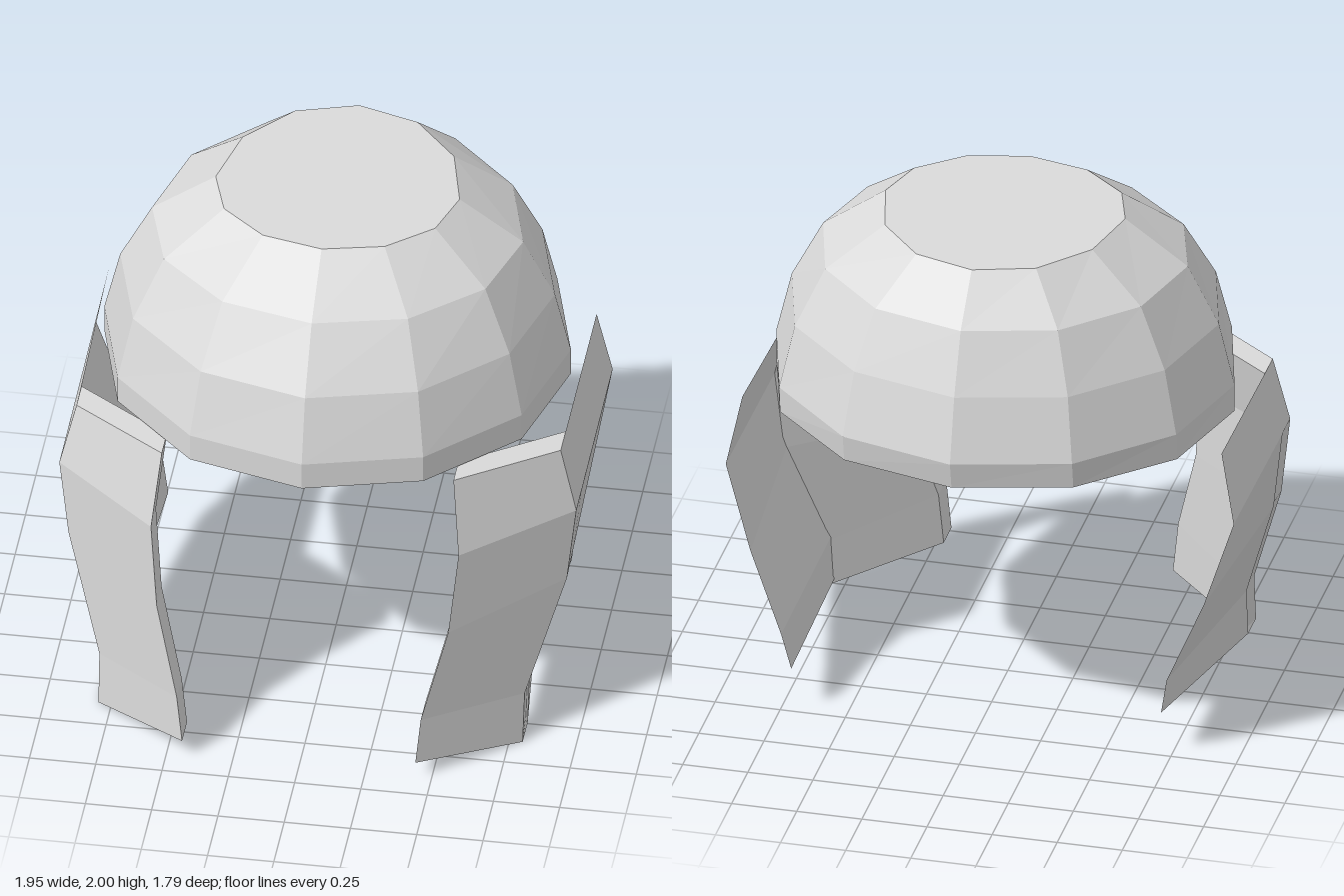
import * as THREE from 'three';

// Double sided because the inner face of each cheek guard crosses its thin outer face
const steel = new THREE.MeshStandardMaterial({ color: 0xdadada, side: THREE.DoubleSide });
steel.name = 'pale grey steel';

// Dome rings from top to bottom: y, half width, front depth, back depth
const rings = [
  [2.0, 0.46, 0.387, 0.523],
  [1.83, 0.7, 0.627, 0.693],
  [1.6, 0.82, 0.787, 0.793],
  [1.35, 0.88, 0.866, 0.858],
  [1.24, 0.88, 0.866, 0.834],
];
const domeZ = -0.037;

function makeDome() {
  const rows = rings.length - 1;
  const geo = new THREE.CylinderGeometry(1, 1, rows, 12, rows).toNonIndexed();
  const p = geo.attributes.position;
  for (let i = 0; i < p.count; i++) {
    const [y, width, front, back] = rings[Math.round(rows / 2 - p.getY(i))];
    const z = p.getZ(i);
    p.setXYZ(i, p.getX(i) * width, y, z * (z > 0 ? front : back) + domeZ);
  }
  geo.computeVertexNormals();
  const mesh = new THREE.Mesh(geo, steel);
  mesh.name = 'dome';
  return mesh;
}

// Cheek guard levels from bottom to top: front edge, fold, back edge
const levels = [
  [[0.44, 0.07, 0.9], [0.8, 0.0, 0.615], [0.71, 0.175, -0.49]],
  [[0.46, 0.27, 0.9], [0.802, 0.2, 0.58], [0.74, 0.335, -0.525]],
  [[0.55, 0.62, 0.81], [0.94, 0.65, 0.445], [0.87, 0.645, -0.475]],
  [[0.58, 0.94, 0.755], [0.975, 0.965, 0.44], [0.975, 0.98, -0.435]],
  [[0.55, 1.235, 0.685], [0.913, 1.222, 0.42], [0.92, 1.255, -0.4]],
];
const thickness = 0.12;

function makeCheek(side, name) {
  // Each section runs round the plate, which tapers to nothing at the back
  const loops = levels.map((level) => {
    const [a, b, c] = level.map(([x, y, z]) => new THREE.Vector3(x * side, y, z));
    const inward = (v) => v.clone().setZ(v.z - thickness);
    return [a, b, c, inward(b), inward(a)];
  });
  const pos = [], nor = [];

  // One facet with a single normal, mirrored order on the other side
  const facet = (...corners) => {
    if (side < 0) corners.reverse();
    const [a, b, c, d = a] = corners;
    const n = c.clone().sub(a).cross(d.clone().sub(b)).normalize();
    const order = corners.length === 4 ? [a, b, c, a, c, d] : [a, b, c];
    for (const v of order) {
      pos.push(...v.toArray());
      nor.push(...n.toArray());
    }
  };

  for (let j = 0; j < loops.length - 1; j++) {
    const lo = loops[j], hi = loops[j + 1];
    for (let i = 0; i < 5; i++) {
      const k = (i + 1) % 5;
      facet(lo[i], lo[k], hi[k], hi[i]);
    }
  }
  // End caps
  const [a, b, c, d, e] = loops[loops.length - 1];
  facet(a, b, d, e);
  facet(b, c, d);
  const [f, g, h, i, j] = loops[0];
  facet(j, i, g, f);
  facet(g, h, i);

  const geo = new THREE.BufferGeometry();
  geo.setAttribute('position', new THREE.Float32BufferAttribute(pos, 3));
  geo.setAttribute('normal', new THREE.Float32BufferAttribute(nor, 3));
  const mesh = new THREE.Mesh(geo, steel);
  mesh.name = name;
  return mesh;
}

export function createModel() {
  const group = new THREE.Group();
  group.name = 'helmet';
  group.add(makeDome(), makeCheek(1, 'leftCheekGuard'), makeCheek(-1, 'rightCheekGuard'));
  return group;
}
